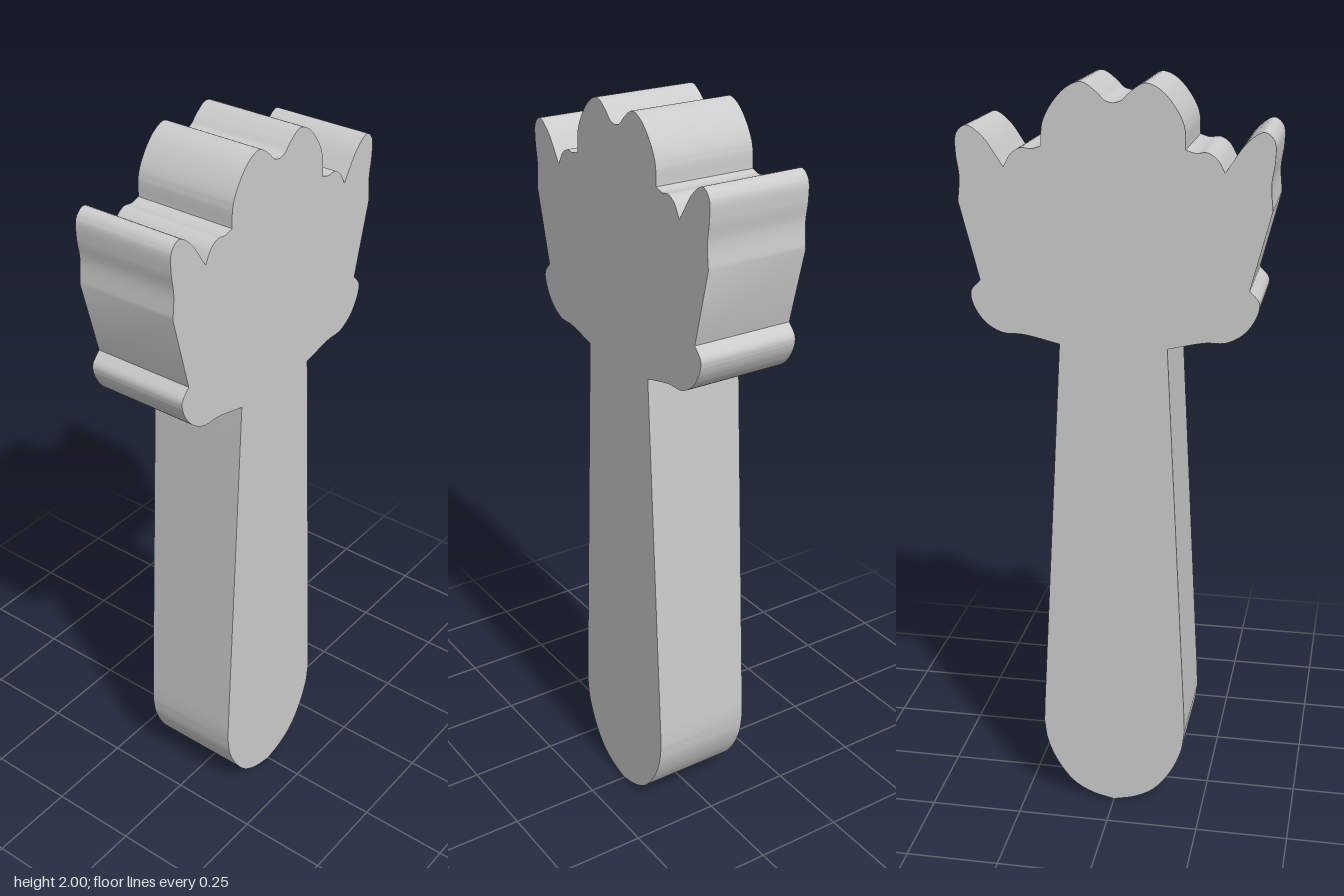
import * as THREE from 'three';
import { toCreasedNormals } from 'three/addons/utils/BufferGeometryUtils.js';

const DEPTH = 0.28;

// Right half of the outline, bottom to top; sharp corners lie between runs.
const runs = [
  // rounded handle end
  [[0, 0], [0.06, 0.015], [0.113, 0.045], [0.16, 0.105], [0.19, 0.175], [0.199, 0.235]],
  // tapering handle side
  [[0.199, 0.235], [0.197, 0.29]],
  [[0.197, 0.29], [0.14, 1.34]],
  // underside of the head and thumb bump
  [[0.14, 1.34], [0.235, 1.361], [0.29, 1.364], [0.335, 1.39], [0.365, 1.435], [0.37, 1.47], [0.345, 1.5]],
  // head side
  [[0.345, 1.5], [0.396, 1.7]],
  // outer finger
  [[0.396, 1.7], [0.391, 1.765], [0.398, 1.82], [0.395, 1.87], [0.37, 1.89], [0.33, 1.865], [0.277, 1.79]],
  // small lobe
  [[0.277, 1.79], [0.257, 1.823], [0.232, 1.838], [0.205, 1.836], [0.18, 1.843]],
  // middle finger
  [[0.18, 1.843], [0.176, 1.9], [0.15, 1.95], [0.113, 1.988], [0.078, 2], [0.042, 1.978], [0.02, 1.957], [0, 1.951]],
];

function halfOutline() {
  const points = [];
  for (const run of runs) {
    const knots = run.map(([x, y]) => new THREE.Vector3(x, y, 0));
    const samples = knots.length === 2
      ? knots
      : new THREE.CatmullRomCurve3(knots, false, 'centripetal').getPoints((knots.length - 1) * 6);
    points.push(...samples.slice(0, -1).map((p) => new THREE.Vector2(p.x, p.y)));
  }
  points.push(new THREE.Vector2(0, 1.951));
  return points;
}

export function createModel() {
  const group = new THREE.Group();

  // Mirror the half outline to close the silhouette
  const right = halfOutline();
  const left = right.slice(1, -1).reverse().map((p) => new THREE.Vector2(-p.x, p.y));
  const shape = new THREE.Shape([...right, ...left]);

  // Slab with smooth curved sides and crisp edges
  const slab = new THREE.ExtrudeGeometry(shape, { depth: DEPTH, bevelEnabled: false });
  slab.translate(0, 0, -DEPTH / 2);
  const mesh = new THREE.Mesh(
    toCreasedNormals(slab, 0.5),
    new THREE.MeshStandardMaterial({ color: 0xcccccc }),
  );
  mesh.name = 'handleWithFingeredHead';
  group.add(mesh);
  return group;
}
